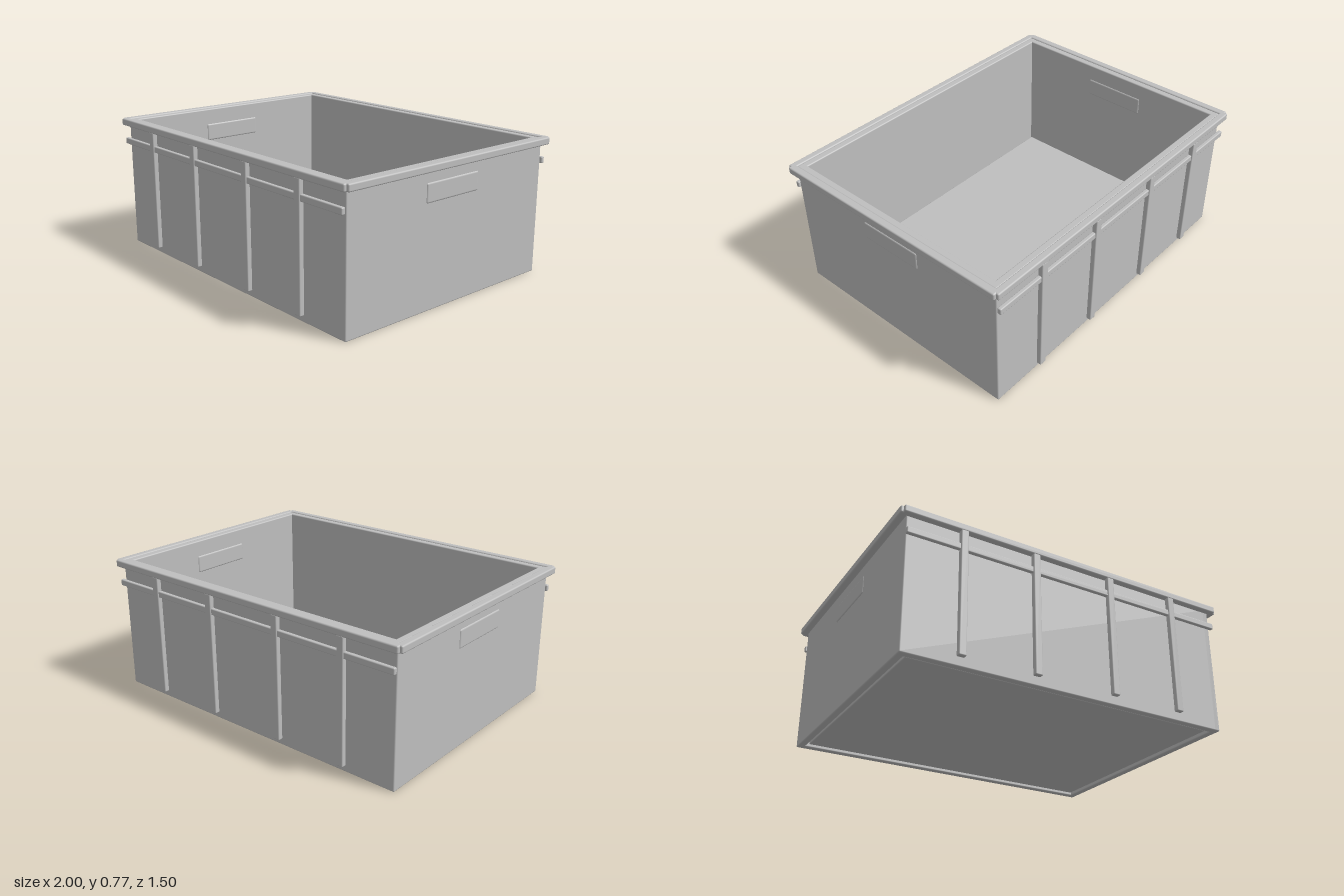
import * as THREE from 'three';
import { RoundedBoxGeometry } from 'three/addons/geometries/RoundedBoxGeometry.js';

export function createModel() {
  const model = new THREE.Group();
  model.name = 'storageCrate';
  const plastic = new THREE.MeshStandardMaterial({ color: 0xbfbfbf });
  plastic.name = 'greyPlastic';

  // Softened box given by its minimum and maximum corners
  function bar(name, min, max, radius) {
    const size = max.map((v, i) => v - min[i]);
    const mesh = new THREE.Mesh(new RoundedBoxGeometry(...size, 2, radius), plastic);
    mesh.position.set(...max.map((v, i) => (v + min[i]) / 2));
    mesh.name = name;
    model.add(mesh);
    return mesh;
  }

  // Floor panel, standing slightly clear of the walls
  bar('floor', [-0.904, 0.01, -0.652], [0.904, 0.035, 0.652], 0.005);

  // Front and back: wall, rim, rail and ribs
  for (const s of [1, -1]) {
    const side = s > 0 ? 'front' : 'back';
    const span = (name, x0, x1, y0, y1, z0, z1, r) =>
      bar(side + name, [x0, y0, Math.min(s * z0, s * z1)], [x1, y1, Math.max(s * z0, s * z1)], r);
    span('Wall', -0.96, 0.96, 0, 0.765, 0.67, 0.71, 0.007);
    span('Rim', -0.985, 0.985, 0.73, 0.77, 0.708, 0.748, 0.008);
    span('Rail', -0.965, 0.965, 0.62, 0.656, 0.718, 0.741, 0.006);
    for (const x of [-0.655, -0.235, 0.235, 0.655]) {
      span('Rib', x - 0.021, x + 0.021, 0.043, 0.735, 0.718, 0.747, 0.006);
    }
  }

  // Left and right: wall, rim and handle panel showing on both faces
  for (const s of [1, -1]) {
    const side = s > 0 ? 'left' : 'right';
    const span = (name, x0, x1, y0, y1, z, r) =>
      bar(side + name, [Math.min(s * x0, s * x1), y0, -z], [Math.max(s * x0, s * x1), y1, z], r);
    span('Wall', 0.92, 0.96, 0, 0.765, 0.71, 0.007);
    span('Rim', 0.958, 1, 0.73, 0.77, 0.732, 0.008);
    span('Handle', 0.915, 0.965, 0.565, 0.67, 0.19, 0.01);
  }
  return model;
}
